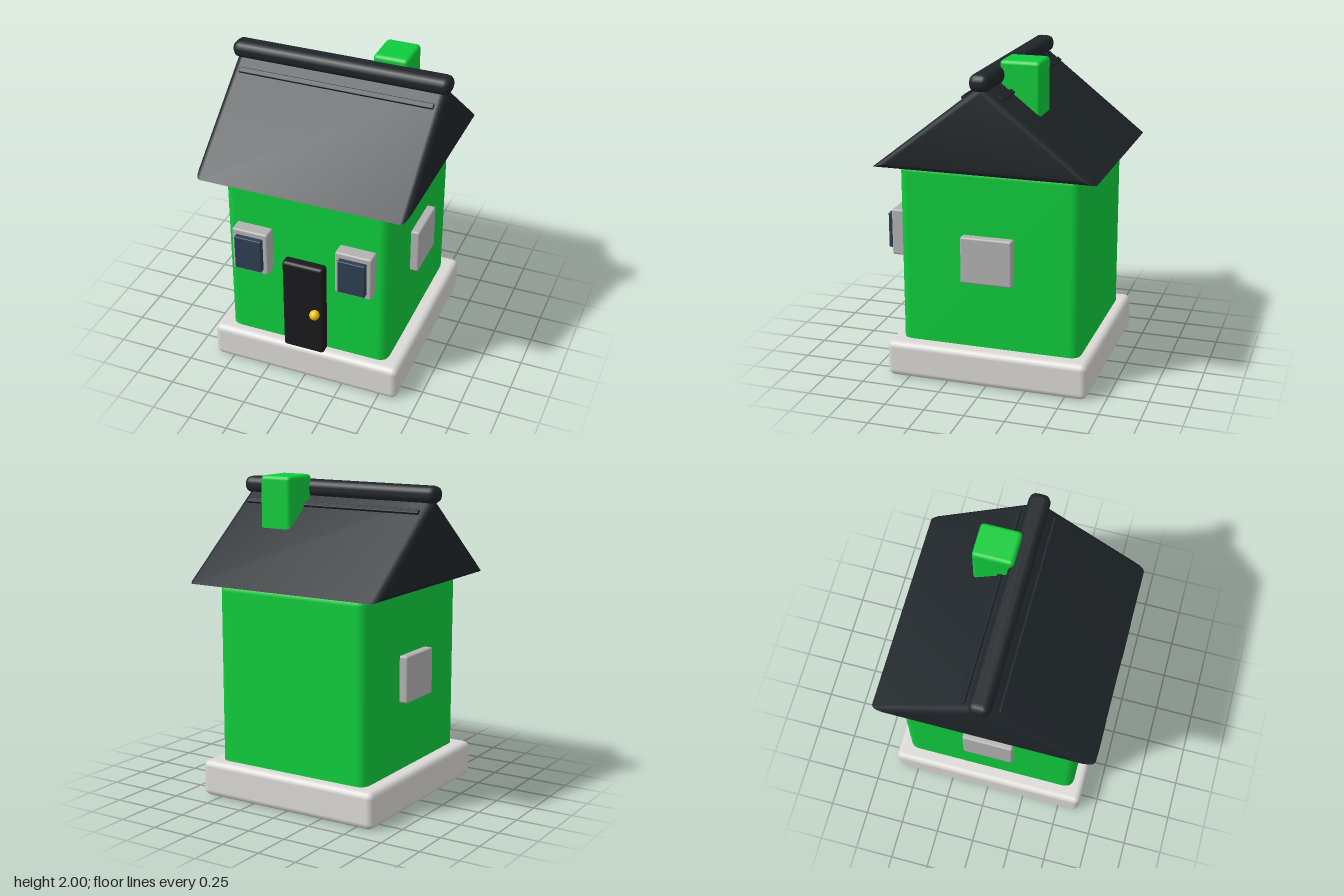
import * as THREE from 'three';
import { RoundedBoxGeometry } from 'three/addons/geometries/RoundedBoxGeometry.js';
import { toCreasedNormals } from 'three/addons/utils/BufferGeometryUtils.js';

const mat = (color) => new THREE.MeshStandardMaterial({ color });
const green = mat(0x0fcc3c), slate = mat(0x1f2529), stone = mat(0xdbd9d6);
const trim = mat(0xb2b2b2), glass = mat(0x2c3e50), black = mat(0x1a1a1c), gold = mat(0xf1c40f);

// Rounded box given by its lower and upper limits on each axis
function block(name, [x0, x1], [y0, y1], [z0, z1], radius, material) {
  const geometry = new RoundedBoxGeometry(x1 - x0, y1 - y0, z1 - z0, 2, radius);
  const mesh = new THREE.Mesh(geometry, material);
  mesh.position.set((x0 + x1) / 2, (y0 + y1) / 2, (z0 + z1) / 2);
  mesh.name = name;
  return mesh;
}

const HALF = 0.685, EAVES = 1.36, RISE = 0.54, ROOF_X = 0.67, BEVEL = 0.04;

// Triangular prism whose ends are rounded by insetting the gable about its incentre
function roofGeometry() {
  const inradius = (HALF * RISE) / (HALF + Math.hypot(HALF, RISE));
  const centreY = EAVES + inradius;
  const profile = [[HALF, EAVES], [0, EAVES + RISE], [-HALF, EAVES]];
  const steps = 4, rings = [];
  const addRing = (side, angle) => {
    const x = side * (ROOF_X - BEVEL * (1 - Math.sin(angle)));
    const scale = 1 - (BEVEL * (1 - Math.cos(angle))) / inradius;
    rings.push(profile.map(([z, y]) => [x, centreY + (y - centreY) * scale, z * scale]));
  };
  for (let i = steps; i >= 0; i--) addRing(-1, (i / steps) * Math.PI / 2);
  for (let i = 0; i <= steps; i++) addRing(1, (i / steps) * Math.PI / 2);

  const points = [];
  for (let i = 0; i < rings.length - 1; i++) {
    for (let j = 0; j < 3; j++) {
      const k = (j + 1) % 3, a = rings[i], b = rings[i + 1];
      points.push(a[j], b[j], b[k], a[j], b[k], a[k]);
    }
  }
  const first = rings[0], last = rings[rings.length - 1];
  points.push(first[0], first[1], first[2], last[0], last[2], last[1]);
  const geometry = new THREE.BufferGeometry();
  geometry.setAttribute('position', new THREE.Float32BufferAttribute(points.flat(), 3));
  return toCreasedNormals(geometry, Math.PI / 6);
}

export function createModel() {
  const house = new THREE.Group();
  house.name = 'house';

  // Plinth and walls
  house.add(block('base', [-0.62, 0.62], [0, 0.23], [-0.64, 0.64], 0.04, stone));
  house.add(block('walls', [-0.527, 0.527], [0.1, 1.37], [-0.568, 0.568], 0.06, green));

  // Roof, ridge cap and the battens just below it
  const roof = new THREE.Mesh(roofGeometry(), slate);
  roof.name = 'roof';
  house.add(roof);
  house.add(block('ridgeCap', [-0.695, 0.695], [1.86, 1.965], [-0.065, 0.065], 0.045, slate));
  const pitch = Math.atan2(RISE, HALF);
  for (const side of [1, -1]) {
    const batten = block('roofBatten', [-0.62, 0.62], [-0.011, 0.011], [-0.017, 0.017], 0.005, slate);
    batten.position.set(0, EAVES + RISE - 0.11 * RISE / HALF + 0.004, side * 0.112);
    batten.rotation.x = side * pitch;
    house.add(batten);
  }

  // Chimney
  house.add(block('chimney', [0.185, 0.405], [1.5, 2], [-0.283, -0.033], 0.025, green));

  // Door and knob
  house.add(block('door', [-0.137, 0.132], [0.215, 0.86], [0.5, 0.63], 0.02, black));
  const knob = new THREE.Mesh(new THREE.SphereGeometry(0.032, 24, 16), gold);
  knob.name = 'doorKnob';
  knob.position.set(0.085, 0.53, 0.653);
  house.add(knob);

  // Front windows and plain side windows
  for (const side of [-1, 1]) {
    const x = side * 0.335;
    house.add(block('windowFrame', [x - 0.116, x + 0.116], [0.745, 1.04], [0.5, 0.652], 0.012, trim));
    house.add(block('windowPane', [x - 0.087, x + 0.087], [0.78, 1.005], [0.6, 0.685], 0.006, glass));
    const wallX = side * 0.53;
    house.add(block('sideWindow', [wallX - 0.05, wallX + 0.05], [0.657, 0.95], [-0.16, 0.163], 0.012, trim));
  }
  return house;
}
